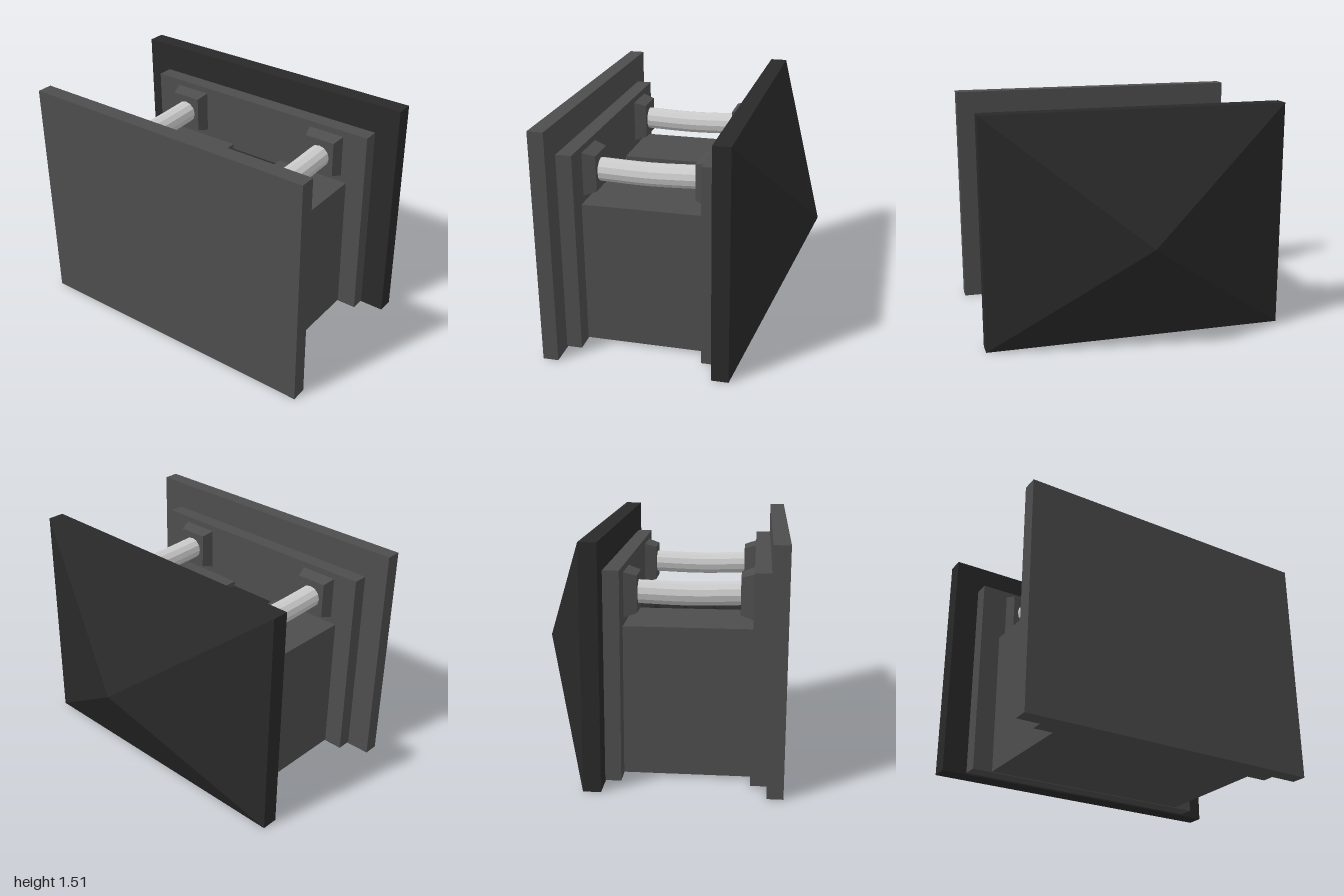
import * as THREE from 'three';

const stone = new THREE.MeshStandardMaterial({ color: 0x4d4d4d, flatShading: true });
const dark = new THREE.MeshStandardMaterial({ color: 0x292929, flatShading: true });
const pale = new THREE.MeshStandardMaterial({ color: 0xcccccc, flatShading: true });

export function createModel() {
  const group = new THREE.Group();

  const add = (name, geometry, material, x = 0, y = 0, z = 0) => {
    const mesh = new THREE.Mesh(geometry, material);
    mesh.name = name;
    mesh.position.set(x, y, z);
    group.add(mesh);
    return mesh;
  };

  // Block centred on x = 0, spanning y0..y1 and z0..z1
  const block = (name, halfWidth, y0, y1, z0, z1, material) =>
    add(name, new THREE.BoxGeometry(2 * halfWidth, y1 - y0, z1 - z0), material, 0, (y0 + y1) / 2, (z0 + z1) / 2);

  // Four-sided frustum standing on y = 0; the top may be shifted along z
  const frustum = (width, depth, height, ratio, topShift = 0) => {
    const g = new THREE.CylinderGeometry(ratio * Math.SQRT1_2, Math.SQRT1_2, 1, 4).toNonIndexed();
    g.rotateY(Math.PI / 4).translate(0, 0.5, 0).scale(width, height, depth);
    const p = g.attributes.position;
    for (let i = 0; i < p.count; i++) p.setZ(i, p.getZ(i) + (topShift * p.getY(i)) / height);
    g.computeVertexNormals();
    return g;
  };

  // The building lies on its back: its roof points to -z, its porch to +y
  block('baseSlab', 1, 0, 1.515, 0.69, 0.79, stone);
  block('step', 0.84, 0.01, 1.325, 0.59, 0.69, stone);
  block('entablature', 0.84, 0.01, 1.325, -0.3, -0.2, stone);
  block('roofSlab', 1, 0, 1.515, -0.41, -0.3, dark);

  // Pyramid roof with its apex slightly off centre
  const roof = add('roof', frustum(2, 1.515, 0.39, 0, -0.045), dark, 0, 0.7575, -0.41);
  roof.rotation.x = -Math.PI / 2;

  // Hall with a shallow doorway recess, extruded along z
  const plan = new THREE.Shape();
  [[-0.71, 0.015], [0.71, 0.015], [0.71, 0.96], [0.195, 0.96], [0.195, 0.91],
    [-0.195, 0.91], [-0.195, 0.96], [-0.71, 0.96]]
    .forEach(([x, y], i) => (i ? plan.lineTo(x, y) : plan.moveTo(x, y)));
  add('hall', new THREE.ExtrudeGeometry(plan, { depth: 0.79, bevelEnabled: false }), stone, 0, 0, -0.2);

  // Door with two columns of four raised panels
  block('door', 0.195, 0.9, 0.925, -0.2, 0.59, dark);
  for (const x of [-0.098, 0.098])
    for (let row = 0; row < 4; row++)
      add('doorPanel', frustum(0.135, 0.14, 0.03, 0.48), dark, x, 0.925, -0.107 + row * 0.195);

  // Columns bowed slightly towards the hall, between tapered end blocks
  const axis = new THREE.CatmullRomCurve3([
    new THREE.Vector3(0, 1.145, 0.53),
    new THREE.Vector3(0, 1.135, 0.195),
    new THREE.Vector3(0, 1.145, -0.14),
  ]);
  for (const x of [-0.545, 0.545]) {
    add('column', new THREE.TubeGeometry(axis, 8, 0.075, 12), pale, x);
    const foot = add('columnBase', frustum(0.25, 0.28, 0.08, 0.83), stone, x, 1.145, 0.59);
    foot.rotation.x = -Math.PI / 2;
    const cap = add('columnCapital', frustum(0.25, 0.28, 0.08, 0.83), stone, x, 1.145, -0.2);
    cap.rotation.x = Math.PI / 2;
  }

  return group;
}
